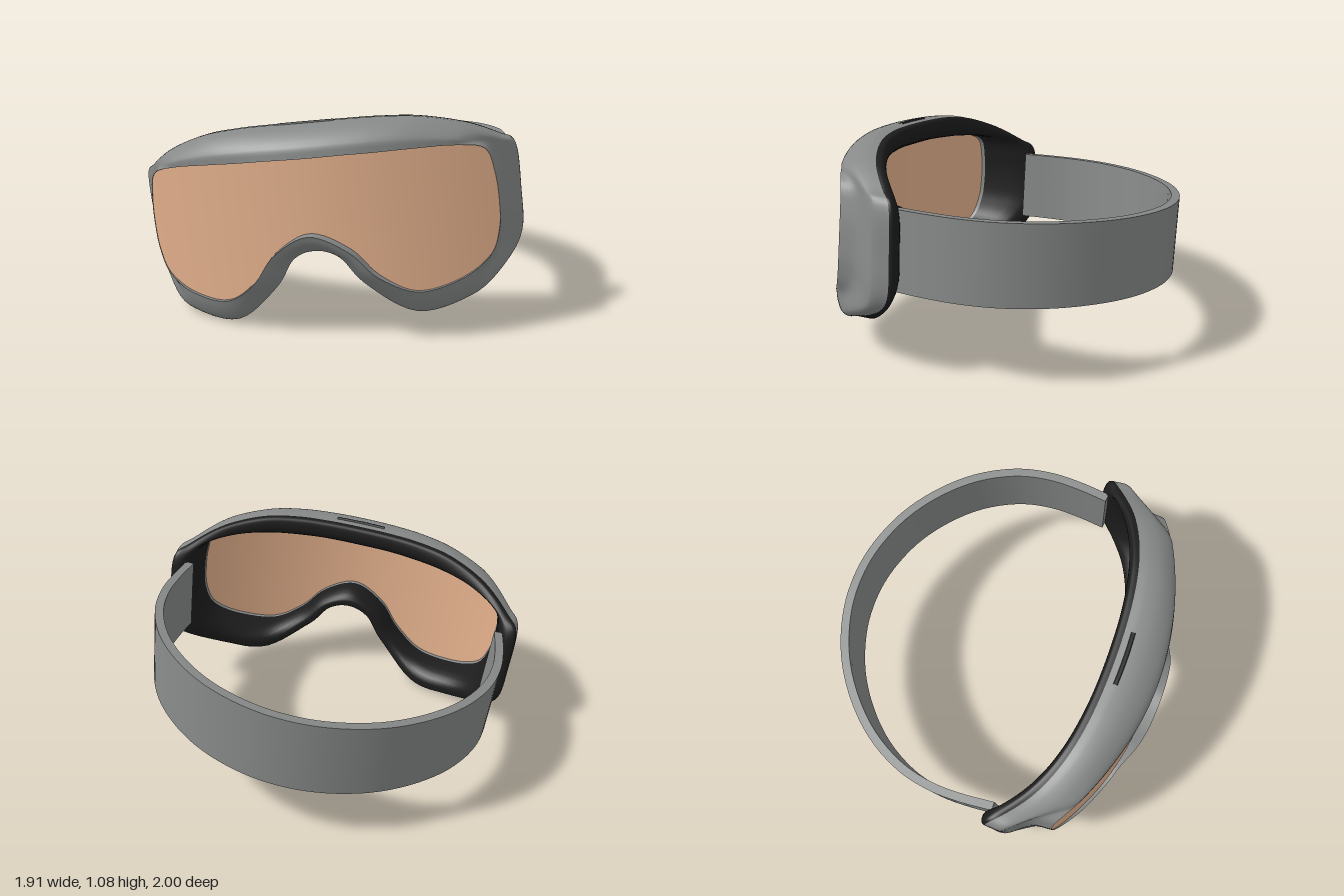
import * as THREE from 'three';
import { toCreasedNormals } from 'three/addons/utils/BufferGeometryUtils.js';

const V = (x, y, z = 0) => new THREE.Vector3(x, y, z);
const lerp = THREE.MathUtils.lerp;
const smooth = THREE.MathUtils.smoothstep;

// Right half of each outline, from the top centre round to the bottom centre
const HOLE = [[0, .347], [.185, .347], [.32, .343], [.5, .337], [.7, .322], [.845, .28], [.885, .15], [.895, 0],
  [.885, -.13], [.835, -.25], [.69, -.335], [.48, -.36], [.31, -.255], [.185, -.11], [0, -.02]];
const OUTER = [[0, .485], [.19, .484], [.36, .478], [.55, .455], [.76, .388], [.92, .293], [.99, .23], [1, 0],
  [.99, -.22], [.9, -.35], [.72, -.455], [.46, -.487], [.225, -.31], [.115, -.165], [0, -.125]];
const N = 28 * 6; // samples round the outline

// Mirrors a half outline and samples it as a closed smooth loop
function loop(half) {
  const mirrored = half.slice(1, -1).reverse().map(([x, y]) => [-x, y]);
  const pts = [...half, ...mirrored].map(([x, y]) => V(x, y));
  const curve = new THREE.CatmullRomCurve3(pts, true, 'catmullrom', .5);
  return Array.from({ length: N }, (_, i) => curve.getPoint(i / N));
}

const lensZ = (x, y) => .785 - .335 * x * x - .04 * y;
const backZ = (x) => .5 - .14 * x * x - .2 * x ** 4;

// Grid of points [row][column] to a smooth surface
function gridGeometry(rows, closed) {
  const cols = rows[0].length, index = [];
  for (let v = 0; v < rows.length - 1; v++) {
    for (let i = 0; i < (closed ? cols : cols - 1); i++) {
      const j = (i + 1) % cols;
      const a = v * cols + i, b = v * cols + j, c = b + cols, d = a + cols;
      index.push(a, b, c, a, c, d);
    }
  }
  const geo = new THREE.BufferGeometry().setFromPoints(rows.flat());
  geo.setIndex(index);
  geo.computeVertexNormals();
  return geo;
}

// Sweeps a changing cross-section round the goggles
function sweep(section, steps) {
  const rows = Array.from({ length: steps + 1 }, () => []);
  for (let i = 0; i < N; i++) {
    const curve = new THREE.CatmullRomCurve3(section(i), false, 'centripetal');
    rows.forEach((row, v) => row.push(curve.getPoint(v / steps)));
  }
  return gridGeometry(rows, true);
}

export function createModel() {
  const mat = (name, color) => {
    const m = new THREE.MeshStandardMaterial({ color, side: THREE.DoubleSide });
    m.name = name;
    return m;
  };
  const grey = mat('grey', 0x868988);
  const black = mat('black', 0x1c1c1c);
  const amber = mat('amber', 0xe8b48f);

  const goggles = new THREE.Group();
  goggles.name = 'goggles';
  const add = (name, geo, material) => {
    const mesh = new THREE.Mesh(geo, material);
    mesh.name = name;
    goggles.add(mesh);
  };

  const hole = loop(HOLE), outer = loop(OUTER);

  // Local measures of the frame at sample i
  function at(i) {
    const h = hole[i], o = outer[i], ax = Math.abs(o.x);
    const end = smooth(ax, .75, 1);
    const below = smooth(-o.y, 0, .12) * (1 - end);
    const nose = below * (1 - smooth(ax, .2, .6));
    const bridge = below * (1 - smooth(ax, .1, .42));
    const zl = lensZ(h.x, h.y);
    const zb = backZ(o.x) + .03 * below + .09 * nose;
    const zf = zb + lerp(.04, .025, end) + .07 * below - .04 * nose;
    const p = (f, z) => V(lerp(h.x, o.x, f), lerp(h.y, o.y, f), z);
    return { end, below, zl, zb, zf, p, lip: .013 * (1 - end) + .04 * bridge, back: .97 - .04 * below };
  }

  // Frame shell, bulging at the front and pinched at the side wings
  add('frame', sweep((i) => {
    const { end, below, zl, zf, lip, back, p } = at(i);
    return [
      p(0, zl + lip),
      p(lerp(.4, .15, end), zl + lip - lerp(.015, .11, end)),
      p(.87, lerp(zl, zf, lerp(.38 - .08 * below, .66, end))),
      p(1, lerp(zl, zf, .75 - .1 * below)),
      p(back, zf),
    ];
  }, 16), grey);

  // Rim wall around the recessed lens
  add('lensRim', sweep((i) => {
    const { zl, lip, p } = at(i);
    return [p(0, zl - .03), p(0, zl + lip)];
  }, 1), grey);

  // Face foam, from the back of the shell in to the lens
  add('faceFoam', sweep((i) => {
    const { zl, zb, zf, back, p } = at(i);
    return [p(back, zf), p(back - .02, zb + .012), p(.83, zb), p(.4, zb), p(.08, zb + .06), p(0, zl - .03)];
  }, 15), black);

  // Lens, spanned between the upper and lower halves of the opening
  const Q = N / 4, lensRows = [];
  for (let r = 0; r <= 8; r++) {
    const row = [];
    for (let k = -Q; k <= Q; k++) {
      const p = hole[(N / 2 - k) % N].clone().lerp(hole[(k + N) % N], r / 8);
      row.push(p.setZ(lensZ(p.x, p.y) - .008));
    }
    lensRows.push(row);
  }
  add('lens', gridGeometry(lensRows, false), amber);

  // Vent slot on top of the frame
  const slot = [-.14, -.07, 0, .07, .14].map((x) => V(x, .479 - .05 * x * x, .585 - .2 * x * x));
  add('ventSlot', new THREE.TubeGeometry(new THREE.CatmullRomCurve3(slot), 16, .014, 8), black);

  // Head strap, a flat band looping behind
  const half = [[.915, .2], [.932, .03], [.932, -.14], [.893, -.33], [.785, -.54], [.625, -.715], [.43, -.85], [.2, -.935]];
  const path = new THREE.CatmullRomCurve3([
    ...half.map(([x, z]) => V(x, -z)), V(0, .958),
    ...half.slice().reverse().map(([x, z]) => V(-x, -z)),
  ]);
  const outside = [], inside = [];
  for (let i = 0; i <= 72; i++) {
    const p = path.getPoint(i / 72), t = path.getTangent(i / 72);
    outside.push(new THREE.Vector2(p.x, p.y));
    inside.unshift(new THREE.Vector2(p.x - t.y * .045, p.y + t.x * .045));
  }
  const band = new THREE.Shape([...outside, ...inside]);
  const strap = new THREE.ExtrudeGeometry(band, { depth: .41, bevelEnabled: false });
  strap.rotateX(-Math.PI / 2).translate(0, -.205, 0);
  add('strap', toCreasedNormals(strap, .6), grey);

  // Resting pose: turned to the side and tipped slightly
  goggles.rotation.set(0, -.953, .12, 'YXZ');
  goggles.position.set(-.02, .55, -.03);

  const model = new THREE.Group();
  model.name = 'skiGoggles';
  model.add(goggles);
  return model;
}
